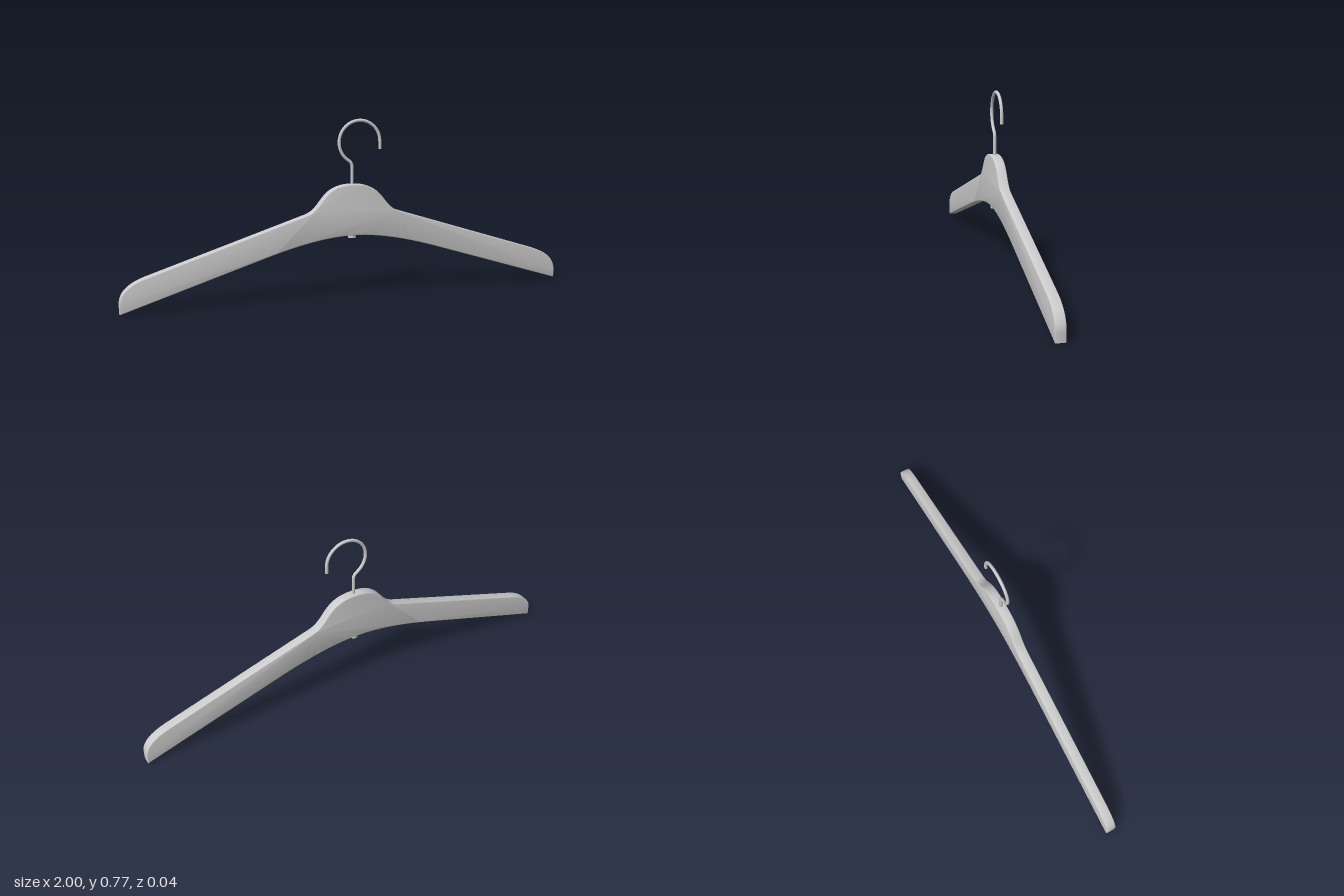
import * as THREE from 'three';
import { toCreasedNormals } from 'three/addons/utils/BufferGeometryUtils.js';

const material = new THREE.MeshStandardMaterial({ color: 0xcccccc });

function addMesh(group, name, geometry) {
  const mesh = new THREE.Mesh(geometry, material);
  mesh.name = name;
  group.add(mesh);
  return mesh;
}

// Outline of the wooden body: arched underside, sloping arms, domed neck
function bodyShape() {
  const s = new THREE.Shape();
  s.moveTo(-1, 0.003);
  s.lineTo(-0.38, 0.197);
  s.bezierCurveTo(-0.25, 0.237, -0.12, 0.267, 0, 0.267);
  s.bezierCurveTo(0.12, 0.267, 0.25, 0.237, 0.38, 0.197);
  s.lineTo(1, 0.003);
  s.lineTo(1, 0.04);
  s.bezierCurveTo(1, 0.09, 0.96, 0.125, 0.89, 0.148);
  s.lineTo(0.21, 0.365);
  s.bezierCurveTo(0.13, 0.39, 0.145, 0.49, 0, 0.49);
  s.bezierCurveTo(-0.145, 0.49, -0.13, 0.39, -0.21, 0.365);
  s.lineTo(-0.89, 0.148);
  s.bezierCurveTo(-0.96, 0.125, -1, 0.09, -1, 0.04);
  s.closePath();
  return s;
}

// Centre line of the wire: stem, bend, round hook and short straight end
function hookPath() {
  const cx = 0.035, cy = 0.67, r = 0.093;
  const path = new THREE.CurvePath();
  const v = (x, y) => new THREE.Vector3(x, y, 0);
  const onArc = (deg) => {
    const a = THREE.MathUtils.degToRad(deg);
    return v(cx + r * Math.cos(a), cy + r * Math.sin(a));
  };
  const start = onArc(235);
  path.add(new THREE.LineCurve3(v(0, 0.26), v(0, 0.565)));
  path.add(new THREE.QuadraticBezierCurve3(v(0, 0.565), v(0, 0.583), start));
  const arc = [];
  for (let i = 0; i <= 16; i++) arc.push(onArc(235 - (235 * i) / 16));
  path.add(new THREE.CatmullRomCurve3(arc));
  path.add(new THREE.LineCurve3(onArc(0), v(cx + r, 0.638)));
  return path;
}

export function createModel() {
  const group = new THREE.Group();
  group.name = 'coatHanger';

  // Flat body with softly rounded edges
  const bevel = 0.004, depth = 0.043;
  const body = new THREE.ExtrudeGeometry(bodyShape(), {
    depth: depth - 2 * bevel,
    bevelEnabled: true,
    bevelSize: bevel,
    bevelOffset: -bevel,
    bevelThickness: bevel,
    bevelSegments: 3,
    curveSegments: 24,
  });
  body.translate(0, 0, -depth / 2 + bevel);
  addMesh(group, 'body', toCreasedNormals(body, 0.7));

  // Wire hook and its closed tip
  const wire = 0.007;
  addMesh(group, 'hook', new THREE.TubeGeometry(hookPath(), 160, wire, 12, false));
  const tip = addMesh(group, 'hookTip', new THREE.CircleGeometry(wire, 12));
  tip.rotation.x = Math.PI / 2;
  tip.position.set(0.128, 0.638, 0);

  // Nut that holds the stem beneath the body
  const nut = addMesh(group, 'nut', new THREE.CylinderGeometry(0.018, 0.018, 0.03, 24));
  nut.position.y = 0.27;

  return group;
}
